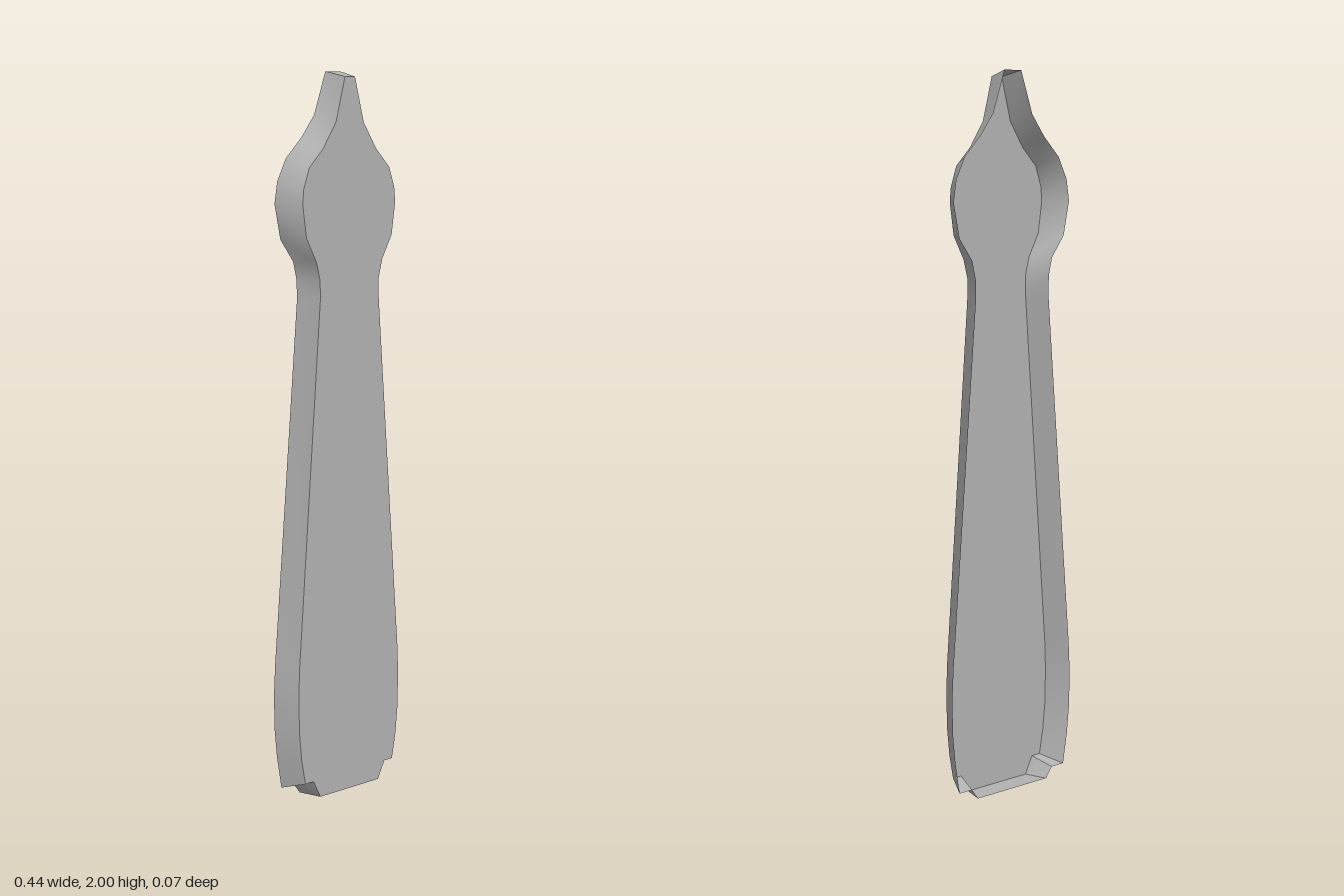
import * as THREE from 'three';
import { toCreasedNormals } from 'three/addons/utils/BufferGeometryUtils.js';

const HALF_DEPTH = 0.033;

// Left half of each outline, bottom to top: [x, y]
const BACK_RIM = [
  [0.13, 0], [0.152, 0.03], [0.197, 0.03], [0.212, 0.12], [0.22, 0.2], [0.222, 0.3], [0.217, 0.39],
  [0.133, 1.39], [0.134, 1.445], [0.146, 1.495], [0.19, 1.555], [0.21, 1.65], [0.2, 1.71],
  [0.17, 1.77], [0.115, 1.825], [0.07, 1.885], [0.03, 2],
];
const FRONT_RIM = [
  [0.11, 0], [0.135, 0.05], [0.165, 0.05], [0.178, 0.12], [0.186, 0.2], [0.188, 0.3], [0.185, 0.38],
  [0.107, 1.39], [0.107, 1.445], [0.12, 1.495], [0.155, 1.56], [0.168, 1.65], [0.164, 1.69],
  [0.145, 1.745], [0.096, 1.795], [0.05, 1.865], [0.018, 1.985],
];

// Close a half outline by mirroring it, counter-clockwise from the front
function mirrored(half) {
  return [...half, ...half.map(([x, y]) => [-x, y]).reverse()];
}

export function createModel() {
  const group = new THREE.Group();
  group.name = 'openBackedBlade';
  const grey = new THREE.MeshStandardMaterial({ color: 0xb2b2b2, side: THREE.DoubleSide });
  grey.name = 'grey';

  const back = mirrored(BACK_RIM);
  const front = mirrored(FRONT_RIM);

  // Flat front face
  const shape = new THREE.Shape(front.map(([x, y]) => new THREE.Vector2(x, y)));
  const face = new THREE.Mesh(new THREE.ShapeGeometry(shape).translate(0, 0, HALF_DEPTH), grey);
  face.name = 'frontFace';
  group.add(face);

  // Sloping wall from the wide open back rim to the front face
  const positions = [];
  for (let i = 0; i < back.length; i++) {
    const j = (i + 1) % back.length;
    const a = [...back[i], -HALF_DEPTH], b = [...back[j], -HALF_DEPTH];
    const c = [...front[j], HALF_DEPTH], d = [...front[i], HALF_DEPTH];
    positions.push(...a, ...b, ...c, ...a, ...c, ...d);
  }
  const wallGeometry = new THREE.BufferGeometry();
  wallGeometry.setAttribute('position', new THREE.Float32BufferAttribute(positions, 3));
  const wall = new THREE.Mesh(toCreasedNormals(wallGeometry, 0.6), grey);
  wall.name = 'bevelledWall';
  group.add(wall);

  return group;
}
